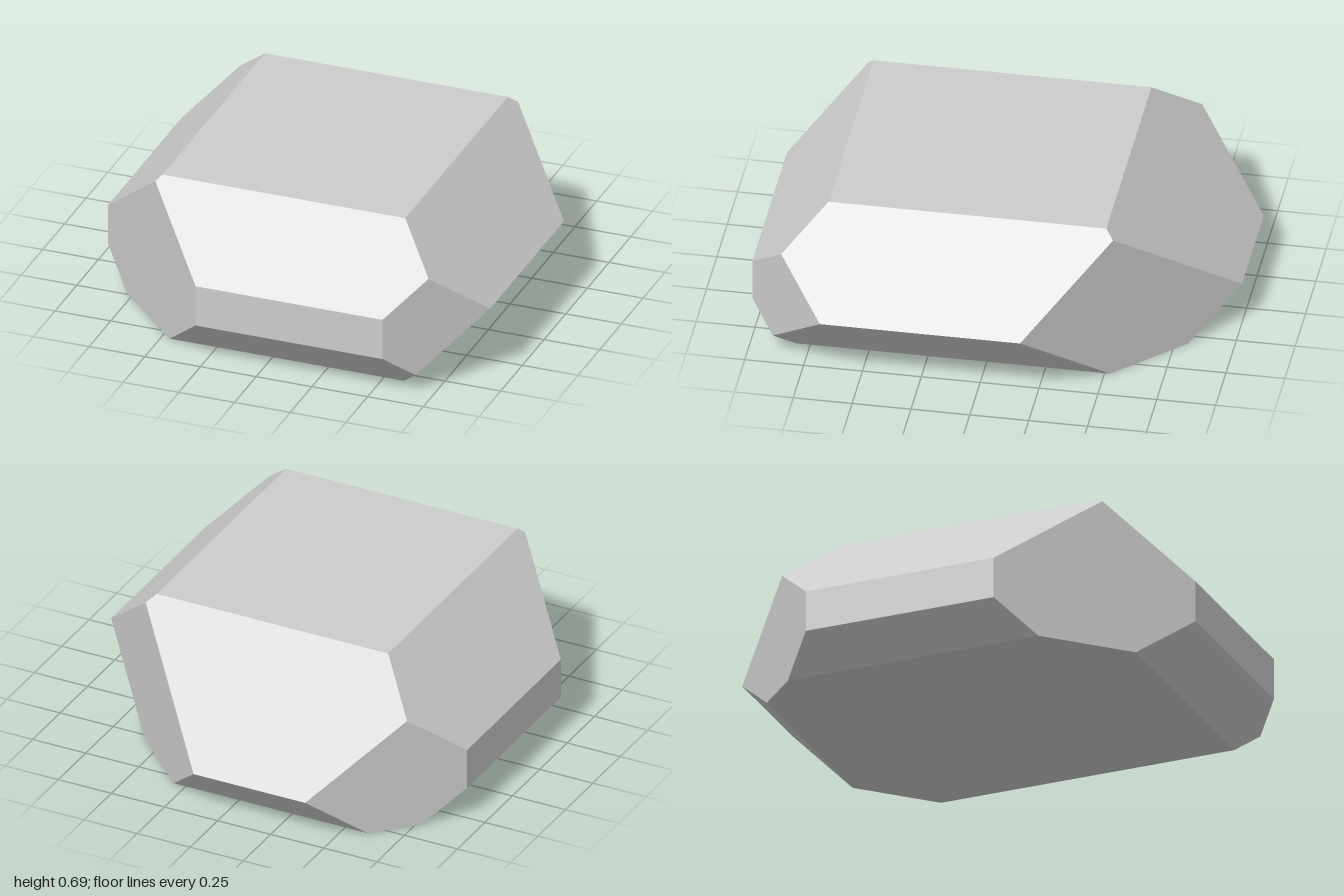
import * as THREE from 'three';

// Cutting planes of the faceted stone: [normal x, y, z, limit], meaning n . p <= limit
const PLANES = [
  // flat faces
  [1, 0, 0, 0.915], [-1, 0, 0, 0.915],
  [0, 1, 0, 0.695], [0, -1, 0, 0],
  [0, 0, 1, 1], [0, 0, -1, 1],
  // upper bevels
  [1, 1, 0, 1.24], [-1, 1, 0, 1.24], [0, 1, 1, 1.375], [0, 1, -1, 1.195],
  // lower bevels
  [1, -1, 0, 0.59], [-1, -1, 0, 0.772], [0, -1, 1, 0.81], [0, -1, -1, 0.805],
  // vertical corner bevels
  [1, 0, 1, 1.567], [-1, 0, 1, 1.272], [1, 0, -1, 1.113], [-1, 0, -1, 1.412],
].map(([x, y, z, d]) => ({ n: new THREE.Vector3(x, y, z), d }));

const EPS = 1e-5;

// Point shared by three planes, or null when they do not meet in one point
function meet(a, b, c) {
  const bc = b.n.clone().cross(c.n);
  const det = a.n.dot(bc);
  if (Math.abs(det) < EPS) return null;
  return bc.multiplyScalar(a.d)
    .addScaledVector(c.n.clone().cross(a.n), b.d)
    .addScaledVector(a.n.clone().cross(b.n), c.d)
    .divideScalar(det);
}

// Corners of the solid: plane triples that lie inside every other plane
function findCorners() {
  const corners = [];
  for (let i = 0; i < PLANES.length; i++)
    for (let j = i + 1; j < PLANES.length; j++)
      for (let k = j + 1; k < PLANES.length; k++) {
        const p = meet(PLANES[i], PLANES[j], PLANES[k]);
        if (!p || PLANES.some(({ n, d }) => n.dot(p) > d + EPS)) continue;
        if (!corners.some((q) => q.distanceTo(p) < 1e-4)) corners.push(p);
      }
  return corners;
}

// Each face is the ring of corners on one plane, sorted counter-clockwise and fanned
function stoneGeometry() {
  const corners = findCorners();
  const points = [];
  for (const { n, d } of PLANES) {
    const ring = corners.filter((p) => Math.abs(n.dot(p) - d) < 1e-4);
    if (ring.length < 3) continue;
    const centre = new THREE.Vector3();
    ring.forEach((p) => centre.addScaledVector(p, 1 / ring.length));
    const u = ring[0].clone().sub(centre).normalize();
    const v = n.clone().normalize().cross(u);
    const angle = (p) => {
      const r = p.clone().sub(centre);
      return Math.atan2(r.dot(v), r.dot(u));
    };
    ring.sort((p, q) => angle(p) - angle(q));
    for (let i = 1; i < ring.length - 1; i++) points.push(ring[0], ring[i], ring[i + 1]);
  }
  const geometry = new THREE.BufferGeometry().setFromPoints(points);
  geometry.computeVertexNormals();
  return geometry;
}

export function createModel() {
  const group = new THREE.Group();
  group.name = 'facetedStone';
  const material = new THREE.MeshStandardMaterial({ color: 0xcccccc, flatShading: true });
  const stone = new THREE.Mesh(stoneGeometry(), material);
  stone.name = 'stone';
  group.add(stone);
  return group;
}
